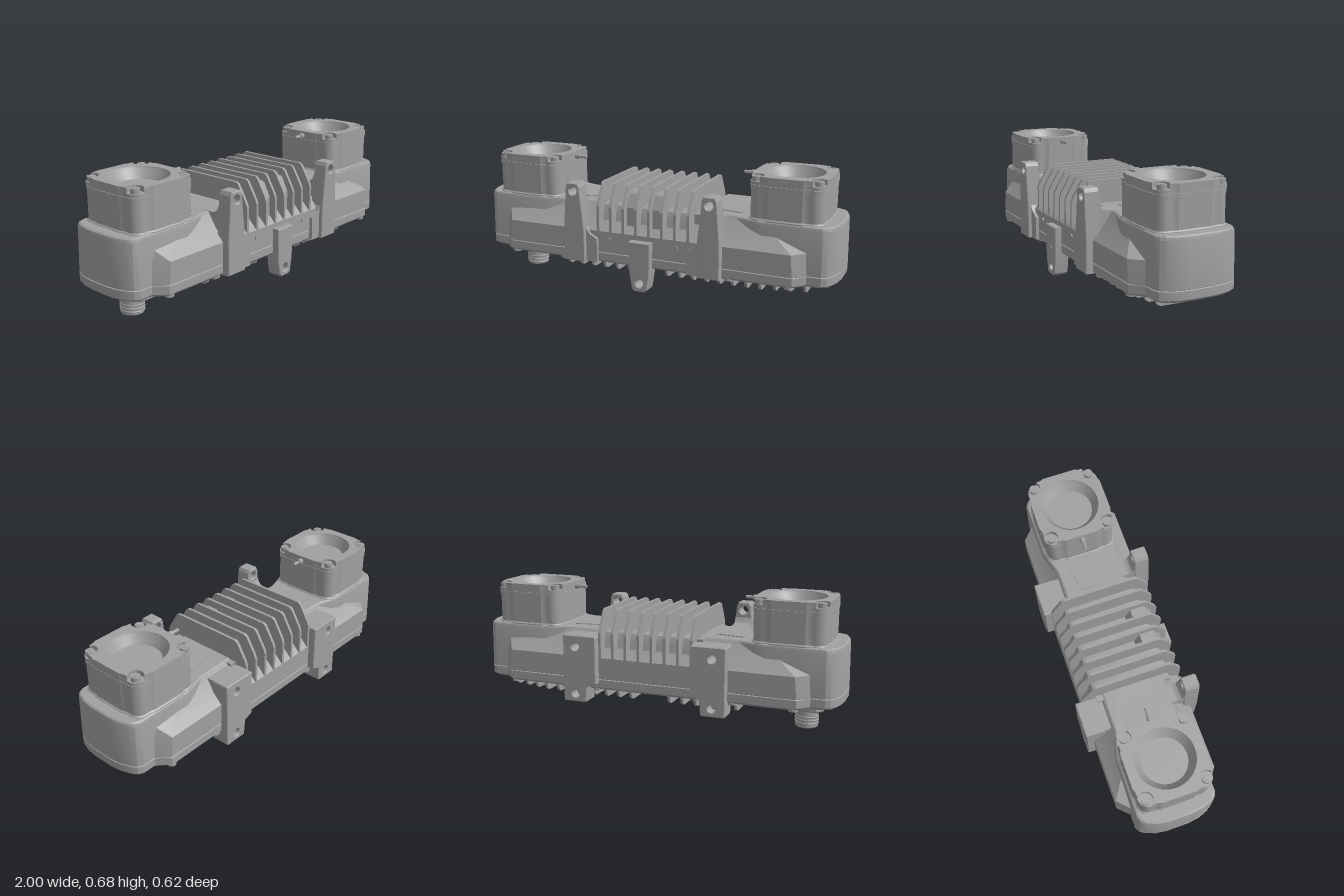
import * as THREE from 'three';
import { toCreasedNormals } from 'three/addons/utils/BufferGeometryUtils.js';

export function createModel() {
  const model = new THREE.Group();
  const metal = new THREE.MeshStandardMaterial({ color: 0xa0a0a0 });
  metal.name = 'cast grey metal';

  const add = (name, geo, x = 0, y = 0, z = 0, parent = model) => {
    const mesh = new THREE.Mesh(geo, metal);
    mesh.name = name;
    mesh.position.set(x, y, z);
    parent.add(mesh);
    return mesh;
  };
  const crease = (geo) => toCreasedNormals(geo, 0.35);
  const box = (name, w, h, d, x, y, z) => add(name, new THREE.BoxGeometry(w, h, d), x, y, z);
  const cyl = (name, r0, r1, h, x, y, z, n = 20, parent) => add(name, new THREE.CylinderGeometry(r0, r1, h, n), x, y, z, parent);
  const lathe = (pts, n) => crease(new THREE.LatheGeometry(pts.map(([r, y]) => new THREE.Vector2(r, y)), n).toNonIndexed());

  // One quadrant of an outline, mirrored into a closed ring
  const mirror4 = (q) => {
    const r = [...q].reverse();
    return [...q, ...r.map(([x, z]) => [-x, z]), ...q.map(([x, z]) => [-x, -z]), ...r.map(([x, z]) => [x, -z])];
  };
  // Solid from stacked rings: levels = [[y, quadrant], ...]
  const loft = (levels) => {
    const rings = levels.map(([y, q]) => mirror4(q).map(([x, z]) => [x, y, z]));
    const n = rings[0].length, top = rings.length - 1, pos = [];
    const tri = (...p) => p.forEach((v) => pos.push(...v));
    for (let i = 0; i < n; i++) {
      const j = (i + 1) % n;
      for (let k = 0; k < top; k++) {
        const a = rings[k], b = rings[k + 1];
        tri(a[i], b[i], b[j]);
        tri(a[i], b[j], a[j]);
      }
      tri([0, levels[0][0], 0], rings[0][i], rings[0][j]);
      tri([0, levels[top][0], 0], rings[top][j], rings[top][i]);
    }
    const geo = new THREE.BufferGeometry();
    geo.setAttribute('position', new THREE.Float32BufferAttribute(pos, 3));
    return crease(geo);
  };
  // Counter-clockwise shape with clockwise round holes [x, y, r]
  const shapeOf = (pts, holes = []) => {
    const v = pts.map(([x, y]) => new THREE.Vector2(x, y));
    if (THREE.ShapeUtils.isClockWise(v)) v.reverse();
    const s = new THREE.Shape(v);
    for (const [x, y, r] of holes) s.holes.push(new THREE.Path().absarc(x, y, r, 0, Math.PI * 2, true));
    return s;
  };
  const extrude = (shape, depth, bevel = 0) => crease(new THREE.ExtrudeGeometry(shape, {
    depth: depth - 2 * bevel, bevelEnabled: bevel > 0, bevelSize: bevel, bevelThickness: bevel,
    bevelOffset: -bevel, bevelSegments: 1, curveSegments: 20,
  }).translate(0, 0, bevel));
  const upright = (shape, h, bevel) => extrude(shape, h, bevel).rotateX(-Math.PI / 2);
  const sideways = (shape, w) => extrude(shape, w).rotateY(-Math.PI / 2).translate(w / 2, 0, 0);

  // Main housing with a waist in the middle and a seam above the base lid
  const plan = (d) => [[1 - d, 0.06], [0.992 - d, 0.12], [0.972 - d, 0.175], [0.955 - d, 0.2 - d],
    [0.93 - d, 0.213 - d], [0.62, 0.213 - d], [0.56, 0.2 - d], [0.48, 0.175 - d], [0.2, 0.17 - d]];
  add('housing', loft([[0.152, plan(0.015)], [0.165, plan(0)], [0.206, plan(0)], [0.209, plan(0.005)],
    [0.212, plan(0)], [0.44, plan(0.004)], [0.454, plan(0.008)], [0.46, plan(0.016)]]));

  // Wider lower flanks with sloped shoulders
  const flank = (x, z, xe = x + 0.07) => [[xe, 0.1], [xe, Math.min(0.2, z)], [x, z], [0.3, z]];
  add('flanks', loft([[0.153, flank(0.79, 0.26)], [0.165, flank(0.8, 0.272)], [0.206, flank(0.8, 0.272)],
    [0.209, flank(0.8, 0.267)], [0.212, flank(0.8, 0.272)], [0.325, flank(0.79, 0.272)],
    [0.385, flank(0.7, 0.212, 0.84)], [0.455, flank(0.5, 0.165, 0.55)]]));

  // Central cooling block: core, upper fins and low pads between them
  add('finCore', sideways(shapeOf([[-0.235, 0.3], [0.235, 0.3], [0.215, 0.42], [0.2, 0.455], [0.17, 0.465],
    [-0.17, 0.465], [-0.2, 0.455], [-0.215, 0.42]]), 0.52));
  const finSide = shapeOf([[-0.272, 0.3], [0.272, 0.3], [0.272, 0.46], [0.262, 0.485], [0.21, 0.572],
    [0.195, 0.58], [-0.195, 0.58], [-0.21, 0.572], [-0.262, 0.485], [-0.272, 0.46]]);
  for (let i = 0; i < 8; i++) add('upperFin', sideways(finSide, 0.015), -0.255 + i * 0.0729);
  const pad = shapeOf([[0.09, 0.4], [0.235, 0.33], [0.235, 0.46], [0.2, 0.53], [0.185, 0.54], [0.12, 0.54], [0.09, 0.46]]);
  for (const s of [-1, 1]) {
    add('finPad', sideways(pad, 0.06), s * 0.073);
    box('finRoot', 0.04, 0.14, 0.4, s * 0.275, 0.385, 0);
  }

  // Lower cooling fins with rounded corners, shorter towards the end
  const lowFin = (w) => shapeOf(mirror4([[w + 0.015, 0.16], [w + 0.004, 0.148], [w, 0.125], [w - 0.007, 0.105], [w - 0.025, 0.093]])
    .slice(0, 10));
  for (let x = -0.473; x < 0.86; x += 0.0728) {
    const w = 0.205 - Math.max(0, x - 0.62) * 0.25;
    if (Math.abs(x) > 0.08) add('lowerFin', sideways(lowFin(w), 0.014), x);
  }
  box('baseBlock', 0.13, 0.03, 0.36, 0, 0.143, 0);

  // Front centre lug
  add('frontLug', extrude(shapeOf([[-0.06, 0.3], [-0.057, 0.13], [-0.043, 0.045], [-0.03, 0.032], [0.03, 0.032],
    [0.043, 0.045], [0.057, 0.13], [0.06, 0.3]], [[0, 0.077, 0.022]]), 0.08, 0.004), 0, 0, 0.231);
  for (const x of [-0.19, 0.19]) cyl('faceBolt', 0.012, 0.012, 0.012, x, 0.285, 0.273, 14).rotation.x = Math.PI / 2;
  cyl('lugBolt', 0.014, 0.014, 0.006, 0, 0.18, 0.31, 14).rotation.x = Math.PI / 2;

  // Turret outline with softly lobed corners; the cap top has a round pocket at each corner
  const corner = (c, r, a0, a1) => Array.from({ length: 9 }, (_, i) => {
    const a = a0 + (i / 8) * (a1 - a0);
    return [c + r * Math.cos(a), c + r * Math.sin(a)];
  });
  const turretPlan = (arc, k = 1) => mirror4([[0.198, 0.04], [0.198, 0.088], [0.191, 0.105], ...arc,
    [0.105, 0.191], [0.088, 0.198], [0.04, 0.198]]).map(([x, z]) => [x * k, z * k]);
  const lobe = corner(0.138, 0.053, -0.2, Math.PI / 2 + 0.2);
  const pocket = corner(0.158, 0.04, -0.7, -0.7 - Math.PI / 2 - 1.742);
  const dish = lathe([[0.152, 0.68], [0.147, 0.668], [0.12, 0.632], [0.116, 0.624], [0, 0.624]], 48);

  for (const s of [-1, 1]) {
    // Turret with cap, recessed window, screws and side nipple
    const turret = new THREE.Group();
    turret.name = 'turret';
    turret.position.x = s * 0.73;
    model.add(turret);
    const put = (name, geo, y) => add(name, geo, 0, y, 0, turret);
    const bore = [[0, 0, 0.152]];
    put('turretFoot', upright(shapeOf(turretPlan(lobe, 1.02)), 0.018, 0.006), 0.45);
    put('turretWall', upright(shapeOf(turretPlan(lobe, 0.985)), 0.17), 0.45);
    put('capGasket', upright(shapeOf(turretPlan(lobe), bore), 0.018), 0.616);
    put('capSeam', upright(shapeOf(turretPlan(lobe, 0.975), bore), 0.006), 0.632);
    put('capRim', upright(shapeOf(turretPlan(lobe), bore), 0.017), 0.636);
    put('capTop', upright(shapeOf(turretPlan(pocket), bore), 0.028), 0.652);
    put('windowDish', dish, 0);
    for (const a of [-1, 1]) for (const b of [-1, 1]) {
      cyl('capScrew', 0.023, 0.023, 0.024, a * 0.157, 0.664, b * 0.155, 18, turret);
      cyl('screwSocket', 0.012, 0.012, 0.004, a * 0.157, 0.676, b * 0.155, 6, turret);
    }
    cyl('nipple', 0.009, 0.009, 0.07, -s * 0.235, 0.655, 0, 14, turret).rotation.z = Math.PI / 2;
    cyl('nippleCollar', 0.015, 0.015, 0.025, -s * 0.215, 0.655, 0, 14, turret).rotation.z = Math.PI / 2;

    // Raised panel on the waist
    add('waistPanel', upright(shapeOf([[0.33, -0.075], [0.48, -0.1], [0.48, 0.1], [0.33, 0.075]]
      .map(([x, z]) => [s * x, z])), 0.008), 0, 0.456);

    // Front mounting ear with a filleted root
    const ear = [[0.44, 0.155], [0.44, 0.33], [0.422, 0.56], [0.412, 0.58], [0.352, 0.58], [0.342, 0.56], [0.318, 0.33], [0.318, 0.155]];
    add('frontEar', extrude(shapeOf(ear.map(([x, y]) => [s * x, y]), [[s * 0.381, 0.538, 0.023]]), 0.08, 0.004), 0, 0, 0.231);
    add('earRoot', sideways(shapeOf([[0.1, 0.16], [0.234, 0.16], [0.234, 0.505], [0.226, 0.485], [0.215, 0.47],
      [0.195, 0.462], [0.1, 0.46]]), 0.092), s * 0.381);
    add('earGusset', extrude(shapeOf([[0.255, 0.157], [0.33, 0.157], [0.33, 0.36], [0.3, 0.31], [0.255, 0.285]]
      .map(([x, y]) => [s * x, y])), 0.1), 0, 0, 0.19);

    // Rear mounting bracket: wide above, narrow foot below
    const bracket = [[0.45, 0.09], [0.445, 0.085], [0.325, 0.085], [0.32, 0.09], [0.312, 0.17], [0.262, 0.19],
      [0.262, 0.44], [0.267, 0.445], [0.445, 0.445], [0.45, 0.44]];
    add('rearBracket', extrude(shapeOf(bracket.map(([x, y]) => [s * x, y]),
      [[s * 0.38, 0.385, 0.022], [s * 0.38, 0.13, 0.022]]), 0.102, 0.004), 0, 0, -0.312);
    box('bracketRoot', 0.18, 0.27, 0.12, s * 0.356, 0.305, -0.16);
    cyl('holeFloor', 0.024, 0.024, 0.01, s * 0.38, 0.13, -0.25, 16).rotation.x = Math.PI / 2;

    // Lid bolts along both edges
    for (const z of [-0.245, 0.245]) for (const x of [0.28, 0.47, 0.78]) {
      cyl('lidBolt', 0.024, 0.024, 0.03, s * x, 0.16, z, 16);
    }
  }

  // Connector plate, plug and threaded socket underneath
  add('connectorPlate', upright(shapeOf([[-0.91, -0.14], [-0.88, -0.17], [-0.53, -0.17], [-0.5, -0.14], [-0.5, 0.14],
    [-0.53, 0.17], [-0.88, 0.17], [-0.91, 0.14]]), 0.036, 0.006), 0, 0.122);
  cyl('plug', 0.036, 0.026, 0.03, -0.57, 0.108, 0, 24);
  cyl('connectorNut', 0.088, 0.088, 0.016, -0.8, 0.108, 0, 6);
  cyl('connectorCollar', 0.068, 0.068, 0.02, -0.8, 0.095, 0, 32);
  add('connectorSocket', lathe([[0, 0.05], [0.046, 0.05], [0.046, 0], [0.056, 0], [0.059, 0.004], [0.059, 0.1]], 36), -0.8);
  const helix = [];
  for (let i = 0; i <= 48; i++) {
    const a = (i / 48) * Math.PI * 6;
    helix.push(new THREE.Vector3(0.058 * Math.cos(a), 0.012 + 0.05 * (i / 48), 0.058 * Math.sin(a)));
  }
  add('connectorThread', new THREE.TubeGeometry(new THREE.CatmullRomCurve3(helix), 120, 0.005, 6), -0.8);

  return model;
}
